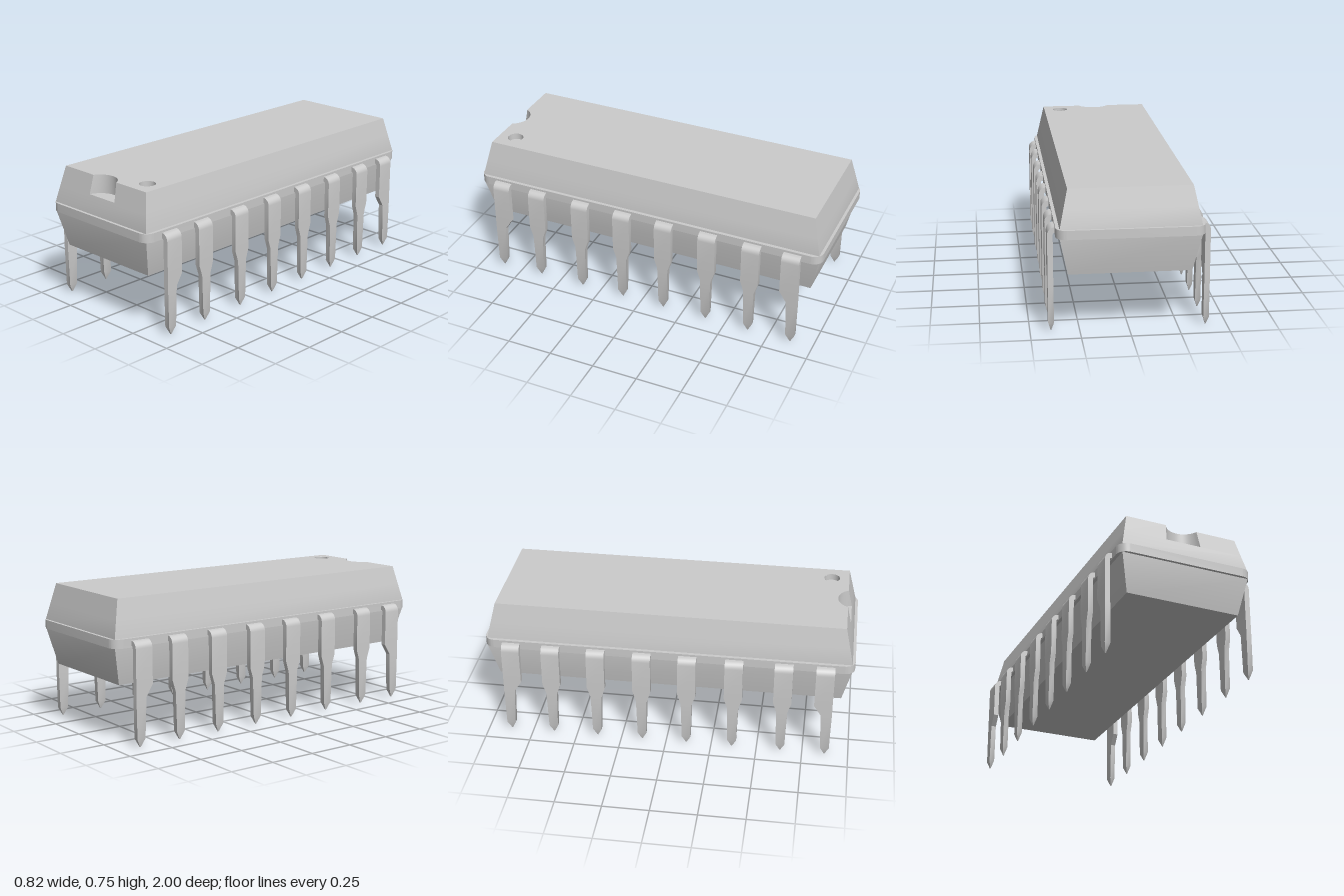
import * as THREE from 'three';
import { toCreasedNormals } from 'three/addons/utils/BufferGeometryUtils.js';

const grey = new THREE.MeshStandardMaterial({ color: 0xcccccc });
const greyDouble = new THREE.MeshStandardMaterial({ color: 0xcccccc, side: THREE.DoubleSide });

const TOP = 0.755, SEAM_TOP = 0.56, SEAM_LOW = 0.513, BASE = 0.315;
const NOTCH = { floor: 0.655, z: 0.983, r: 0.098 };
const DOT = { x: 0.215, z: 0.845, r: 0.043, depth: 0.035 };

function add(parent, name, geometry, material = grey) {
  const mesh = new THREE.Mesh(geometry, material);
  mesh.name = name;
  parent.add(mesh);
  return mesh;
}

// Skin between rings of [x, y, z] points, each counter-clockwise from above, going up
function loft(rings, capStart = false) {
  const pos = [];
  const tri = (a, b, c) => pos.push(...a, ...b, ...c);
  for (let k = 0; k < rings.length - 1; k++) {
    const a = rings[k], b = rings[k + 1], n = a.length;
    for (let i = 0; i < n; i++) {
      const j = (i + 1) % n;
      tri(a[i], a[j], b[j]);
      tri(a[i], b[j], b[i]);
    }
  }
  if (capStart) {
    const a = rings[0];
    for (let i = 1; i < a.length - 1; i++) tri(a[0], a[i + 1], a[i]);
  }
  const g = new THREE.BufferGeometry();
  g.setAttribute('position', new THREE.Float32BufferAttribute(pos, 3));
  g.computeVertexNormals();
  return toCreasedNormals(g, 0.5);
}

// Half width and half length of the tapered body at a height
function bodySize(y) {
  const t = y > SEAM_TOP ? (y - SEAM_TOP) / (TOP - SEAM_TOP)
    : y < SEAM_LOW ? (SEAM_LOW - y) / (SEAM_LOW - BASE) : 0;
  return [0.352 - 0.042 * t, 0.985 - 0.045 * t];
}

function bodyRing(y) {
  const [x, z] = bodySize(y);
  return [[x, y, z], [x, y, -z], [-x, y, -z], [-x, y, z]];
}

function notchArc(y, steps = 20) {
  const half = Math.acos((NOTCH.z - bodySize(y)[1]) / NOTCH.r);
  return Array.from({ length: steps + 1 }, (_, i) => {
    const a = -half + (2 * half * i) / steps;
    return [NOTCH.r * Math.sin(a), y, NOTCH.z - NOTCH.r * Math.cos(a)];
  });
}

const shapeOf = (ring) => new THREE.Shape(ring.map((p) => new THREE.Vector2(p[0], -p[2])));
const flat = (shape, y) => new THREE.ShapeGeometry(shape, 24).rotateX(-Math.PI / 2).translate(0, y, 0);

function createBody() {
  const body = new THREE.Group();
  body.name = 'body';
  add(body, 'lowerBody', loft([BASE, SEAM_LOW, SEAM_TOP, NOTCH.floor].map(bodyRing), true));

  // Upper slab with the end notch cut through its front wall
  const notched = (y) => [...bodyRing(y), ...notchArc(y)];
  add(body, 'upperBody', loft([notched(NOTCH.floor), notched(TOP)]));
  add(body, 'notchFloor', flat(shapeOf(notchArc(NOTCH.floor)), NOTCH.floor), greyDouble);

  // Top face with the round marker recess
  const top = shapeOf(notched(TOP));
  top.holes.push(new THREE.Path().absarc(DOT.x, -DOT.z, DOT.r, 0, Math.PI * 2, true));
  add(body, 'topFace', flat(top, TOP));
  const wall = new THREE.CylinderGeometry(DOT.r, DOT.r, DOT.depth, 24, 1, true);
  add(body, 'markerWall', wall, greyDouble).position.set(DOT.x, TOP - DOT.depth / 2, DOT.z);
  const floor = new THREE.CircleGeometry(DOT.r, 24).rotateX(-Math.PI / 2);
  add(body, 'markerFloor', floor).position.set(DOT.x, TOP - DOT.depth, DOT.z);

  // Thin seam flange with rounded corners
  const x = 0.37, z = 1, r = 0.055, q = Math.PI / 2;
  const outline = new THREE.Shape();
  outline.absarc(x - r, z - r, r, 0, q);
  outline.absarc(r - x, z - r, r, q, 2 * q);
  outline.absarc(r - x, r - z, r, 2 * q, 3 * q);
  outline.absarc(x - r, r - z, r, 3 * q, 4 * q);
  const flange = new THREE.ExtrudeGeometry(outline, { depth: SEAM_TOP - SEAM_LOW, bevelEnabled: false, curveSegments: 6 });
  add(body, 'seamFlange', toCreasedNormals(flange.rotateX(-q).translate(0, SEAM_LOW, 0), 0.5));
  return body;
}

// One bent pin on the +x side, from its point up and into the body;
// shift moves the narrow lower part towards one edge
function pinGeometry(shift) {
  const ring = (xo, yo, xi, yi, half, dz = 0) => [
    [xo, yo, dz + half], [xo, yo, dz - half], [xi, yi, dz - half], [xi, yi, dz + half],
  ];
  const rings = [
    ring(0.396, 0, 0.392, 0, 0.002, shift),
    ring(0.408, 0.045, 0.379, 0.045, 0.024, shift),
    ring(0.408, 0.26, 0.38, 0.26, 0.03, shift * 0.85),
    ring(0.408, 0.32, 0.38, 0.32, 0.049),
  ];
  for (let i = 0; i <= 6; i++) {
    const c = Math.cos((i * Math.PI) / 12), s = Math.sin((i * Math.PI) / 12);
    rings.push(ring(0.37 + 0.038 * c, 0.51 + 0.038 * s, 0.37 + 0.01 * c, 0.51 + 0.01 * s, 0.049));
  }
  rings.push(ring(0.33, 0.548, 0.33, 0.52, 0.049));
  return loft(rings, true);
}

function createPinRow(name, side) {
  const row = new THREE.Group();
  row.name = name;
  const places = [-0.85, -0.632, -0.385, -0.134, 0.112, 0.364, 0.629, 0.848];
  places.forEach((place, i) => {
    const z = place * side;
    const isEnd = i === 0 || i === places.length - 1;
    add(row, 'pin', pinGeometry(isEnd ? 0.023 * Math.sign(z) : 0)).position.z = z;
  });
  if (side < 0) row.rotation.y = Math.PI;
  return row;
}

export function createModel() {
  const model = new THREE.Group();
  model.name = 'chip';
  model.add(createBody(), createPinRow('leftPins', 1), createPinRow('rightPins', -1));
  return model;
}
